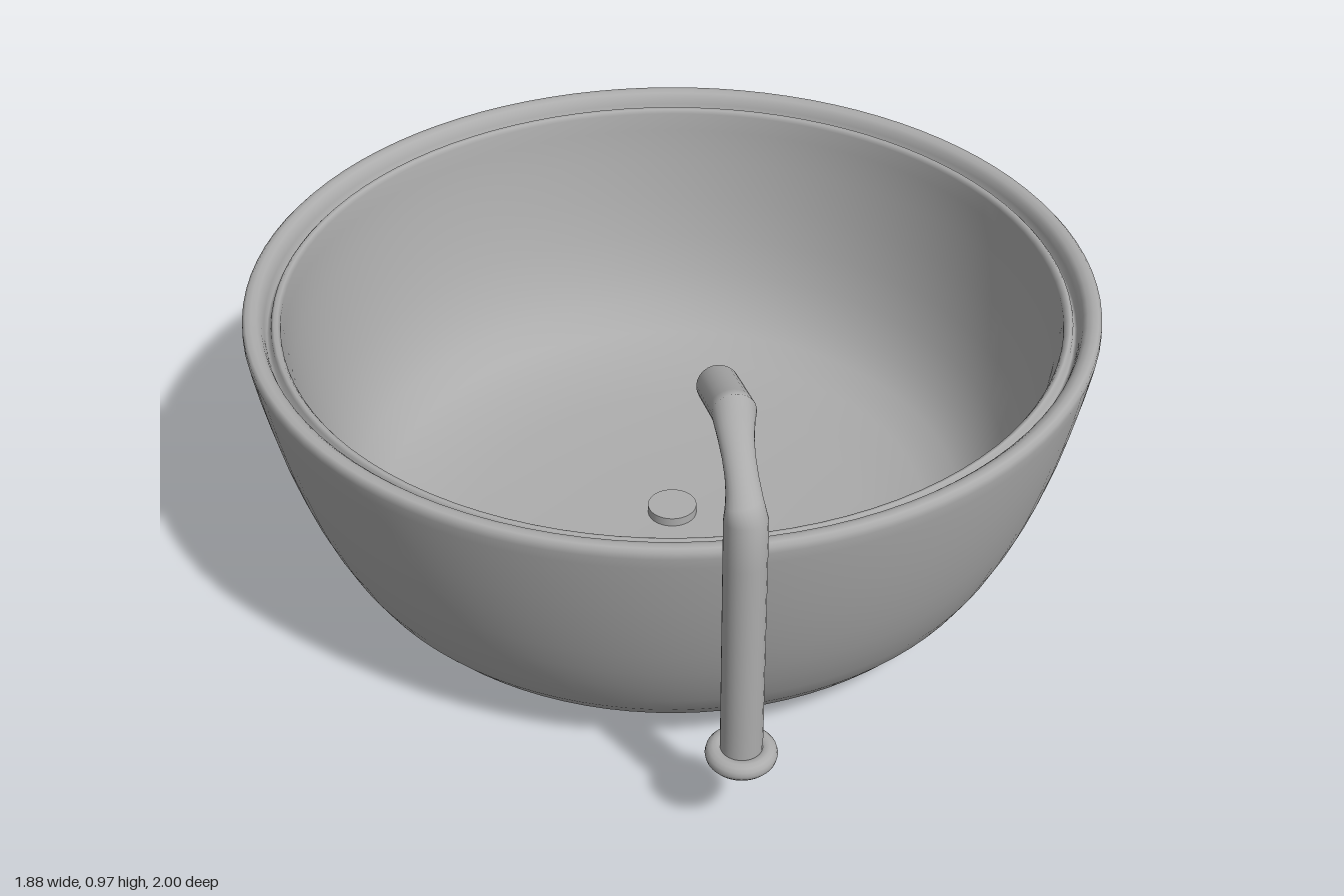
import * as THREE from 'three';

const grey = new THREE.MeshStandardMaterial({ color: 0xacacac });
grey.name = 'grey ceramic';

function add(parent, name, geometry, x = 0, y = 0, z = 0) {
  const mesh = new THREE.Mesh(geometry, grey);
  mesh.name = name;
  mesh.position.set(x, y, z);
  parent.add(mesh);
  return mesh;
}

// Mitred pipe in the yz plane. Each ring has a centre, a half-width vector and a twist.
function pipeGeometry(rings, radius, sides = 24, steps = 6) {
  const positions = [], indices = [];
  const ringPoint = ({ y, z, vy, vz, twist }, i) => {
    const t = (i / sides) * Math.PI * 2 + twist;
    return new THREE.Vector3(radius * Math.cos(t), y + vy * Math.sin(t), z + vz * Math.sin(t));
  };
  const addLoop = (from, to, f) => {
    const start = positions.length / 3;
    for (let i = 0; i < sides; i++) {
      positions.push(...ringPoint(from, i).lerp(ringPoint(to, i), f).toArray());
    }
    return start;
  };
  // Straight rulings between rings let a twisted piece pinch in the middle
  let previous = addLoop(rings[0], rings[0], 0);
  for (let s = 0; s < rings.length - 1; s++) {
    for (let k = 1; k <= steps; k++) {
      const current = addLoop(rings[s], rings[s + 1], k / steps);
      for (let i = 0; i < sides; i++) {
        const j = (i + 1) % sides;
        indices.push(previous + i, current + i, previous + j);
        indices.push(previous + j, current + i, current + j);
      }
      previous = current;
    }
  }
  // Flat end caps
  [rings[0], rings[rings.length - 1]].forEach((ring, end) => {
    const start = addLoop(ring, ring, 0);
    const centre = positions.length / 3;
    positions.push(0, ring.y, ring.z);
    for (let i = 0; i < sides; i++) {
      const a = start + i, b = start + (i + 1) % sides;
      indices.push(centre, end ? b : a, end ? a : b);
    }
  });
  const geometry = new THREE.BufferGeometry();
  geometry.setAttribute('position', new THREE.Float32BufferAttribute(positions, 3));
  geometry.setIndex(indices);
  geometry.computeVertexNormals();
  return geometry;
}

export function createModel() {
  const model = new THREE.Group();
  model.name = 'roundBathtub';

  // Round tub: bulging outer wall, rolled rim, groove, inner ridge, then the basin
  const profile = [
    [0, 0.01], [0.06, 0.004], [0.3, 0.001], [0.48, 0.004], [0.57, 0.013], [0.635, 0.027],
    [0.695, 0.059], [0.735, 0.093], [0.77, 0.134], [0.8, 0.185], [0.828, 0.245], [0.85, 0.3],
    [0.872, 0.365], [0.895, 0.445], [0.913, 0.52], [0.928, 0.59], [0.938, 0.645], [0.942, 0.67],
    [0.941, 0.684], [0.934, 0.691], [0.922, 0.692], [0.91, 0.688], [0.901, 0.679], [0.896, 0.664],
    [0.891, 0.645], [0.885, 0.645], [0.881, 0.66], [0.875, 0.666], [0.867, 0.664], [0.861, 0.655],
    [0.858, 0.61], [0.846, 0.53], [0.826, 0.43], [0.8, 0.335], [0.768, 0.25], [0.725, 0.178],
    [0.67, 0.126], [0.59, 0.092], [0.45, 0.07], [0.22, 0.061], [0, 0.058],
  ].map(([r, y]) => new THREE.Vector2(r, y));
  add(model, 'tub', new THREE.LatheGeometry(profile, 96), 0, 0, -0.058);

  // Drain plug on the basin floor
  add(model, 'drain', new THREE.CylinderGeometry(0.057, 0.057, 0.03, 32), 0, 0.065, -0.06);

  // Free-standing tap with two mitred bends
  const tap = new THREE.Group();
  tap.name = 'tap';
  model.add(tap);
  add(tap, 'tapPipe', pipeGeometry([
    { y: 0.184, z: 0.926, vy: 0, vz: 0.043, twist: 0 },
    { y: 0.79, z: 0.926, vy: 0.01, vz: 0.043, twist: 0 },
    { y: 0.932, z: 0.778, vy: 0.0435, vz: 0.003, twist: 1.5 },
    { y: 0.862, z: 0.586, vy: 0.039, vz: -0.0135, twist: 1.5 },
  ], 0.043));
  const flange = add(tap, 'tapFlange', new THREE.TorusGeometry(0.053, 0.02, 14, 40), 0, 0.208, 0.926);
  flange.rotation.x = Math.PI / 2;

  return model;
}
